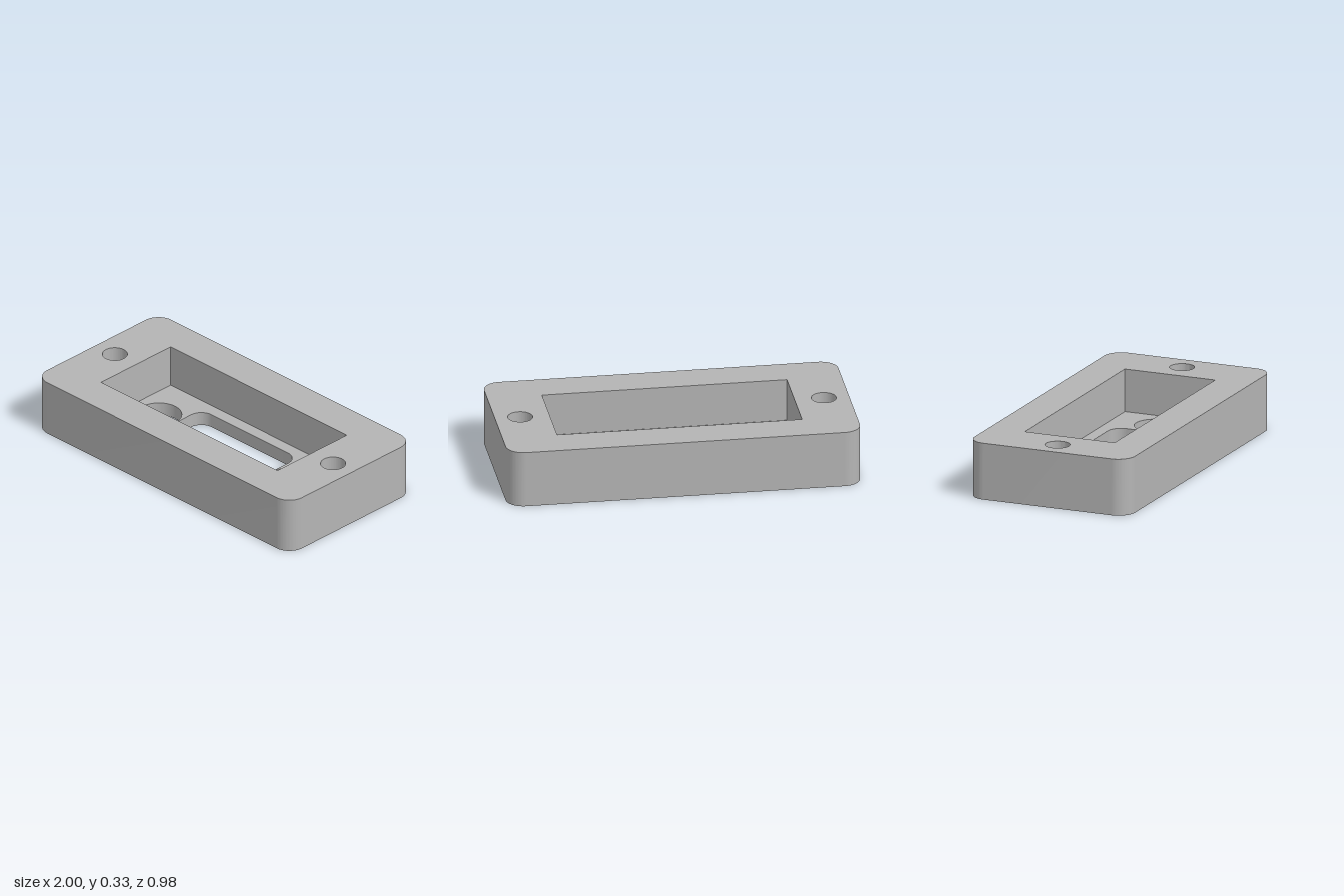
import * as THREE from 'three';
import { mergeVertices, toCreasedNormals } from 'three/addons/utils/BufferGeometryUtils.js';

const HEIGHT = 0.327;
const FLOOR = 0.08;

// Counter-clockwise rectangle outline with optional round corners
function rectangle(halfW, halfD, r = 0) {
  const s = new THREE.Shape();
  if (r === 0) {
    s.moveTo(-halfW, -halfD).lineTo(halfW, -halfD).lineTo(halfW, halfD).lineTo(-halfW, halfD);
    return s.getPoints();
  }
  const w = halfW - r, d = halfD - r;
  s.absarc(w, -d, r, -Math.PI / 2, 0);
  s.absarc(w, d, r, 0, Math.PI / 2);
  s.absarc(-w, d, r, Math.PI / 2, Math.PI);
  s.absarc(-w, -d, r, Math.PI, Math.PI * 1.5);
  return s.getPoints(12);
}

function circle(x, r) {
  return new THREE.Path().absarc(x, 0, r, 0, Math.PI * 2).getPoints(48).slice(0, -1);
}

// Flat face with holes, facing up or down at height y
function face(outline, holes, y, down = false) {
  const shape = new THREE.Shape(outline);
  shape.holes = holes.map((h) => new THREE.Path(h));
  const g = new THREE.ShapeGeometry(shape);
  return g.rotateX(down ? Math.PI / 2 : -Math.PI / 2).translate(0, y, 0);
}

// Upright wall along an outline; inward for pockets and holes
function wall(outline, y0, y1, inward = false) {
  const pts = inward ? [...outline].reverse() : outline;
  const pos = [];
  pts.forEach((a, i) => {
    const b = pts[(i + 1) % pts.length];
    if (a.distanceTo(b) < 1e-6) return;
    pos.push(a.x, y0, -a.y, b.x, y0, -b.y, b.x, y1, -b.y);
    pos.push(a.x, y0, -a.y, b.x, y1, -b.y, a.x, y1, -a.y);
  });
  const g = new THREE.BufferGeometry();
  g.setAttribute('position', new THREE.Float32BufferAttribute(pos, 3));
  return toCreasedNormals(mergeVertices(g), 0.6);
}

export function createModel() {
  const group = new THREE.Group();
  group.name = 'recessedMountingPlate';
  const grey = new THREE.MeshStandardMaterial({ color: 0xb4b4b4 });
  grey.name = 'plain grey';
  const add = (name, geometry) => {
    const mesh = new THREE.Mesh(geometry, grey);
    mesh.name = name;
    group.add(mesh);
  };

  const body = rectangle(1, 0.49, 0.1);
  const pocket = rectangle(0.692, 0.275);
  const slot = rectangle(0.38, 0.204, 0.08);
  const screwHoles = [-1, 1].map((s) => circle(s * 0.857, 0.07));
  const floorHoles = [-1, 1].map((s) => circle(s * 0.51, 0.127));

  // Outer block
  add('outerWall', wall(body, 0, HEIGHT));
  add('topFace', face(body, [pocket, ...screwHoles], HEIGHT));
  add('bottomFace', face(body, [slot, ...screwHoles, ...floorHoles], 0, true));

  // Recess and its floor
  add('pocketWall', wall(pocket, FLOOR, HEIGHT, true));
  add('pocketFloor', face(pocket, [slot, ...floorHoles], FLOOR));

  // Openings
  add('slotWall', wall(slot, 0, FLOOR, true));
  floorHoles.forEach((h, i) => add(i ? 'floorHoleLeft' : 'floorHoleRight', wall(h, 0, FLOOR, true)));
  screwHoles.forEach((h, i) => add(i ? 'screwHoleLeft' : 'screwHoleRight', wall(h, 0, HEIGHT, true)));

  return group;
}
